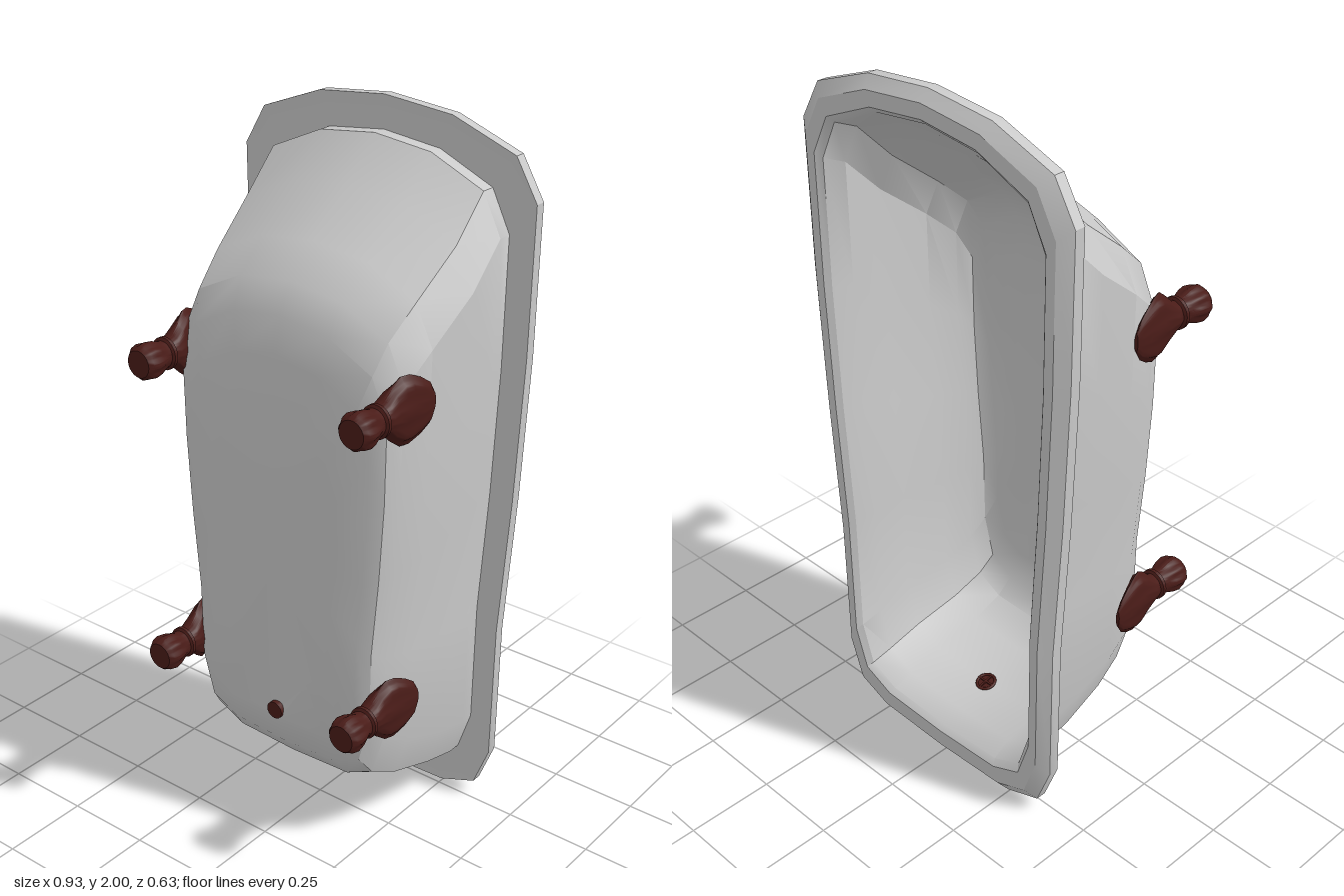
import * as THREE from 'three';
import { toCreasedNormals } from 'three/addons/utils/BufferGeometryUtils.js';

const enamel = new THREE.MeshStandardMaterial({ color: 0xcccccc });
const bronze = new THREE.MeshStandardMaterial({ color: 0x4a1c18 });

// Skin a stack of equal-length rings (clockwise seen from +z) and cap both ends
function loft(rings, crease) {
  const n = rings[0].length, pos = [], idx = [];
  rings.forEach(r => r.forEach(p => pos.push(...p)));
  for (let i = 0; i < rings.length - 1; i++) {
    for (let j = 0; j < n; j++) {
      const a = i * n + j, b = i * n + (j + 1) % n, c = a + n, d = b + n;
      idx.push(a, c, b, b, c, d);
    }
  }
  [0, rings.length - 1].forEach((k, end) => {
    const r = rings[k], c = pos.length / 3;
    const mean = axis => r.reduce((s, p) => s + p[axis], 0) / n;
    pos.push(mean(0), mean(1), Math.max(...r.map(p => p[2])));
    for (let j = 0; j < n; j++) {
      const a = k * n + j, b = k * n + (j + 1) % n;
      if (end) idx.push(c, b, a); else idx.push(c, a, b);
    }
  });
  const g = new THREE.BufferGeometry();
  g.setAttribute('position', new THREE.Float32BufferAttribute(pos, 3));
  g.setIndex(idx);
  return toCreasedNormals(g, crease);
}

// Tub outline: domed head end at the top, tapered sides, squarer foot end
function outline(z, w, y0, y1) {
  const head = y1 - 0.2, foot = y0 + 0.17;
  const at = t => foot + (head - foot) * t;
  const half = [
    [0, y1], [0.45, y1 - 0.02], [0.86, y1 - 0.09], [1, head],
    [0.99, at(0.75)], [0.95, at(0.5)], [0.89, at(0.25)],
    [0.88, foot], [0.78, y0 + 0.05], [0.54, y0 + 0.008], [0, y0],
  ];
  const mirrored = half.slice(1, -1).reverse().map(([x, y]) => [-x, y]);
  return [...half, ...mirrored].map(([x, y]) => [x * w, y, z]);
}

function buildTub() {
  // z, half width, foot end y, head end y
  const shell = [
    [-0.26, 0.39, 0.10, 1.91], [-0.22, 0.39, 0.10, 1.91], [-0.11, 0.39, 0.127, 1.80],
    [0.03, 0.372, 0.165, 1.69], [0.12, 0.355, 0.21, 1.61], [0.16, 0.335, 0.265, 1.53],
    [0.18, 0.295, 0.35, 1.43], [0.195, 0.20, 0.50, 1.27],
  ];
  const rim = [
    [-0.30, 0.385, 0.095, 1.915], [-0.315, 0.40, 0.08, 1.93], [-0.315, 0.43, 0.03, 1.97],
    [-0.29, 0.465, 0, 2], [-0.26, 0.465, 0, 2], [-0.262, 0.44, 0.025, 1.975],
  ];
  // Inside, over the rim, then down the outside
  const inside = shell.slice(1).reverse()
    .map(([z, w, y0, y1]) => [z - 0.02, w - 0.018, y0 + 0.02, y1 - 0.02]);
  const rings = [...inside, ...rim, ...shell].map(a => outline(...a));
  // Floor dips toward the drain
  rings[0][10] = [0, 0.40, 0.155];
  rings[rings.length - 1][10] = [0, 0.38, 0.174];
  return new THREE.Mesh(loft(rings, 0.5), enamel);
}

// Claw foot: leaf-shaped plate against the tub, ankle, collar and lobed ball
function buildFoot() {
  // z, outward offset, half width x, half height y, lobe depth
  const sections = [
    [0.028, 0.034, 0.006, 0.025, 0], [0.045, 0.033, 0.012, 0.055, 0.08],
    [0.075, 0.027, 0.018, 0.076, 0.1], [0.11, 0.018, 0.024, 0.092, 0.1],
    [0.135, 0.01, 0.03, 0.092, 0.1], [0.165, 0.002, 0.035, 0.07, 0.08],
    [0.19, 0, 0.038, 0.046, 0.06], [0.207, 0, 0.035, 0.038, 0.04],
    [0.211, 0, 0.042, 0.045, 0], [0.221, 0, 0.042, 0.045, 0],
    [0.225, 0, 0.035, 0.037, 0], [0.242, 0, 0.04, 0.04, 0.08],
    [0.262, 0, 0.048, 0.048, 0.12], [0.285, 0, 0.052, 0.052, 0.12],
    [0.303, 0, 0.048, 0.048, 0.08], [0.315, 0, 0.037, 0.037, 0],
  ];
  const n = 48;
  const rings = sections.map(([z, cx, rx, ry, lobe]) =>
    Array.from({ length: n }, (_, j) => {
      const a = j / n * Math.PI * 2, k = 1 - lobe * (0.5 - 0.5 * Math.cos(8 * a));
      return [cx + rx * k * Math.sin(a), ry * k * Math.cos(a), z];
    }));
  return loft(rings, 0.7);
}

// Round fitting with a raised ring and cross bars, facing +y
function fitting(name, radius, depth) {
  const g = new THREE.Group();
  g.name = name;
  g.add(new THREE.Mesh(new THREE.CylinderGeometry(radius * 0.85, radius * 0.85, depth, 20), bronze));
  const ring = new THREE.Mesh(new THREE.TorusGeometry(radius * 0.88, radius * 0.14, 8, 24), bronze);
  ring.rotation.x = Math.PI / 2;
  ring.position.y = depth / 2;
  g.add(ring);
  for (const turn of [0, Math.PI / 2]) {
    const bar = new THREE.Mesh(new THREE.BoxGeometry(radius * 1.6, 0.004, 0.006), bronze);
    bar.rotation.y = turn;
    bar.position.y = depth / 2 + 0.002;
    g.add(bar);
  }
  return g;
}

export function createModel() {
  const model = new THREE.Group();
  model.name = 'bathtub';

  const tub = buildTub();
  tub.name = 'tub';
  model.add(tub);

  // Four feet; the right side is the left one turned half way round z
  const footGeometry = buildFoot();
  for (const [end, x, y] of [['head', 0.345, 1.36], ['foot', 0.32, 0.49]]) {
    for (const side of [1, -1]) {
      const foot = new THREE.Mesh(footGeometry, bronze);
      foot.name = `${end}End${side > 0 ? 'Left' : 'Right'}ClawFoot`;
      foot.position.set(side * x, y, 0);
      if (side < 0) foot.rotation.z = Math.PI;
      model.add(foot);
    }
  }

  // Drain through the floor and overflow on the foot end wall
  const drain = fitting('drain', 0.03, 0.044);
  drain.rotation.x = -Math.PI / 2;
  drain.position.set(-0.01, 0.375, 0.168);
  const overflow = fitting('overflow', 0.03, 0.012);
  overflow.rotation.x = -0.245;
  overflow.position.set(0, 0.145, -0.13);
  model.add(drain, overflow);

  return model;
}
